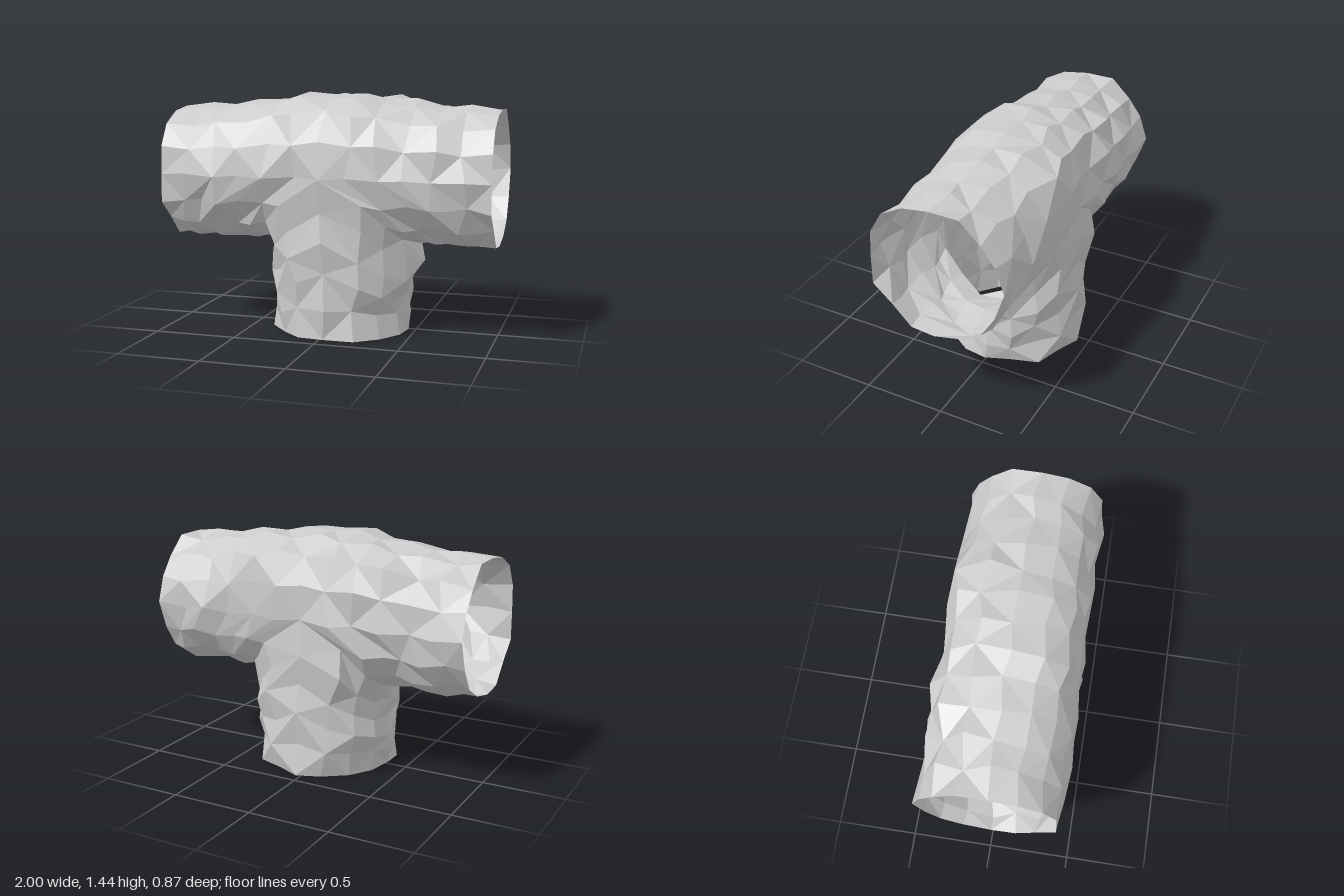
import * as THREE from 'three';

const R = 0.415;   // radius of tunnel and shaft
const CY = 0.955;  // height of the tunnel axis
const SIDES = 16;
const SQUARE = 0.5; // how boxy the shaft becomes where it meets the tunnel

// Local pushes in the rock: centre, reach, offset
const BUMPS = [
  [[0.44, 0.5, 0], 0.2, [0.1, 0.01, 0]],
  [[0.3, 1.26, -0.32], 0.2, [0, 0.03, -0.07]],
  [[-0.42, 1.2, -0.36], 0.18, [0, 0.03, -0.04]],
  [[-0.1, 1.38, 0.1], 0.25, [0, 0.02, 0]],
  [[0.43, 1.36, -0.1], 0.15, [0, 0.03, 0]],
  [[-0.57, 0.93, 0.4], 0.15, [0, 0, 0.03]],
];

// Turns the clean pipe surface into uneven rock; rims stay flat and both tunnel ends match
function roughen(p) {
  const endRim = Math.abs(p.x) > 0.999, baseRim = p.y < 0.001;
  const hx = endRim ? 1 : p.x, { y, z } = p;
  const wave = (a, b, c, d) => Math.sin(a * hx + b * y + c * z + d);
  const q = p.clone();

  // broader, squarer and higher roof in the middle
  const mid = Math.exp(-((p.x / 0.5) ** 2));
  if (y > CY) {
    const s = (y - CY) / R, c = z / R;
    q.y += mid * (0.065 * s + 0.17 * s * s * c * c) - 0.01 * s;
    q.z += mid * 0.09 * s * s * c;
  }
  // shaft sits slightly toward +x
  q.x += 0.03 * THREE.MathUtils.clamp((0.65 - y) / 0.15, 0, 1) * (Math.abs(p.x) < 0.45 ? 1 : 0);

  for (const [c, reach, push] of BUMPS) {
    const d2 = p.distanceToSquared(new THREE.Vector3(...c));
    if (!endRim) q.addScaledVector(new THREE.Vector3(...push), Math.exp(-d2 / (reach * reach)));
  }
  q.x += 0.02 * wave(13, 17, 11, 1.3);
  q.y += 0.016 * wave(19, 9, 14, 4.1);
  q.z += 0.017 * wave(16, 15, 8, 2.2);
  if (endRim) q.x = p.x;
  if (baseRim) q.y = 0;
  return q;
}

// Faceted surface from a grid of points
function rockSurface(name, rows, pointAt, flip) {
  const pos = [], index = [];
  for (let j = 0; j <= rows; j++) {
    for (let i = 0; i < SIDES; i++) {
      pos.push(...roughen(pointAt((i / SIDES) * Math.PI * 2, j / rows)).toArray());
    }
  }
  for (let j = 0; j < rows; j++) {
    for (let i = 0; i < SIDES; i++) {
      const n = (i + 1) % SIDES;
      const a = j * SIDES + i, b = j * SIDES + n, c = a + SIDES, d = b + SIDES;
      const tris = (i + j) % 2 ? [[a, c, b], [b, c, d]] : [[a, c, d], [a, d, b]];
      for (const [u, v, w] of tris) index.push(...(flip ? [u, w, v] : [u, v, w]));
    }
  }
  const geo = new THREE.BufferGeometry();
  geo.setAttribute('position', new THREE.Float32BufferAttribute(pos, 3));
  geo.setIndex(index);
  geo.computeVertexNormals();
  const mesh = new THREE.Mesh(geo, new THREE.MeshStandardMaterial({
    color: 0xcccccc, flatShading: true, side: THREE.DoubleSide,
  }));
  mesh.name = name;
  return mesh;
}

// Half-width of the shaft, from round (power 1) to boxy (smaller power);
// near-zero values are snapped so the seam closes exactly
const halfWidth = (c, power) => (Math.abs(c) < 1e-6 ? 0 : R * Math.abs(c) ** power);

export function createModel() {
  const group = new THREE.Group();
  group.name = 'tunnelJunction';

  // Tunnel arms: meet at x = 0 over the roof and stop at the shaft seam below
  for (const side of [1, -1]) {
    group.add(rockSurface(side > 0 ? 'leftTunnelArm' : 'rightTunnelArm', 6, (t, v) => {
      const start = halfWidth(Math.min(0, Math.sin(t)), SQUARE);
      return new THREE.Vector3(side * (start + (1 - start) * v), CY + R * Math.sin(t), R * Math.cos(t));
    }, side < 0));
  }

  // Shaft: open round base, rising to the saddle-shaped seam
  group.add(rockSurface('shaft', 5, (t, v) => {
    const c = Math.cos(t);
    const x = Math.sign(c) * halfWidth(c, THREE.MathUtils.lerp(1, SQUARE, v));
    return new THREE.Vector3(x, v * (CY - R * Math.abs(c)), R * Math.sin(t));
  }, false));

  return group;
}
